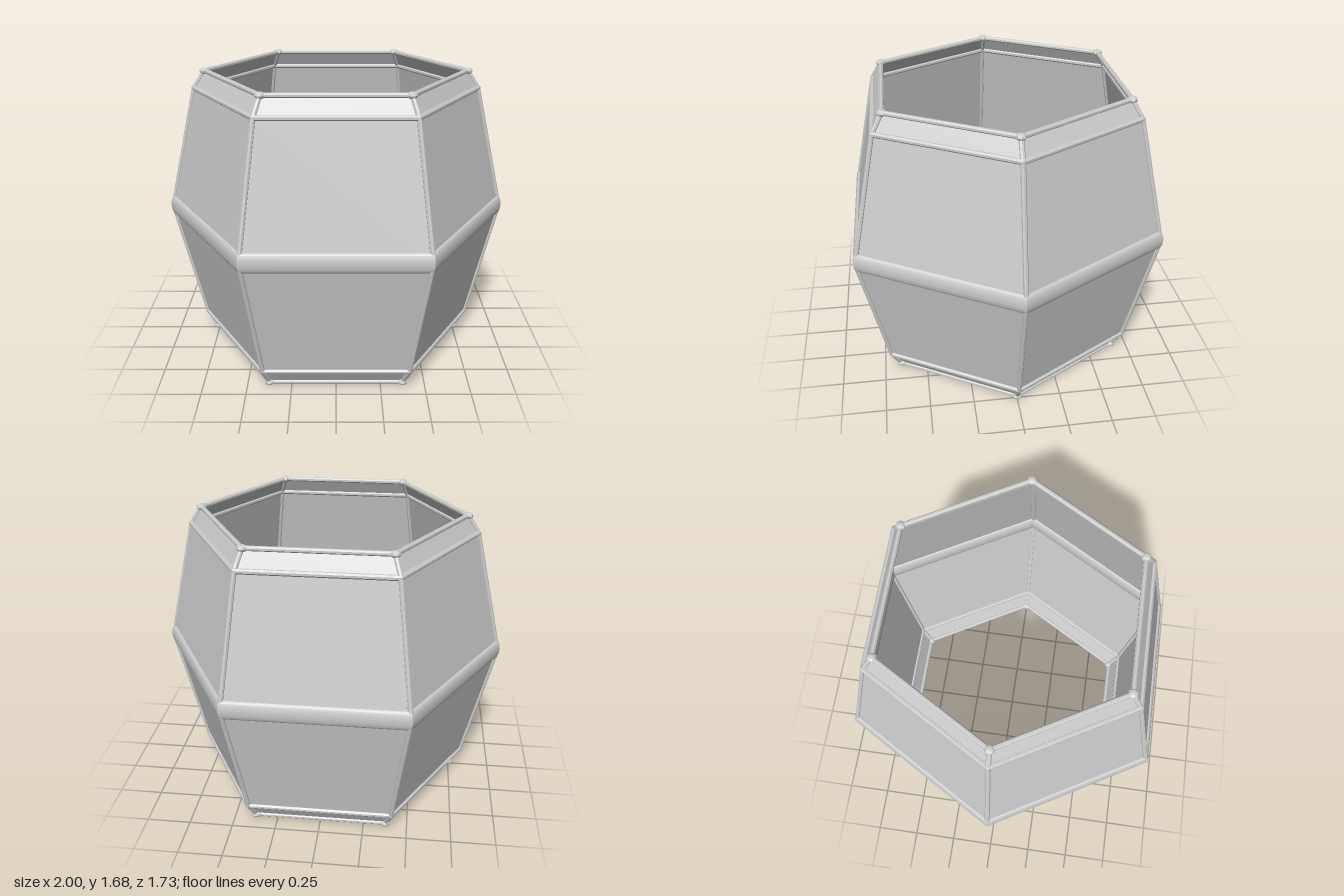
import * as THREE from 'three';

const SIDES = 6;
const MID = 0.84; // height of the widest ring
// half profile above the middle: [corner radius, height offset]
const HALF = [[0.985, 0], [0.815, 0.72], [0.75, 0.82]];

const material = new THREE.MeshStandardMaterial({ color: 0xcccccc, flatShading: true, side: THREE.DoubleSide });

function addMesh(parent, name, geometry) {
  const mesh = new THREE.Mesh(geometry, material);
  mesh.name = name;
  parent.add(mesh);
  return mesh;
}

// six-sided lathe with a corner on the x axis
function hexLathe(points) {
  return new THREE.LatheGeometry(points, SIDES, Math.PI / 2);
}

// closed hexagonal ring with an elliptical section
function hexRing(radius, y, halfDepth, halfHeight, steps) {
  const points = [];
  for (let i = 0; i <= steps; i++) {
    const a = (i / steps) * Math.PI * 2 + Math.PI / steps;
    points.push(new THREE.Vector2(radius + Math.cos(a) * halfDepth, y + Math.sin(a) * halfHeight));
  }
  return hexLathe(points);
}

// straight round bar between two points
function addBar(parent, name, from, to, radius) {
  const dir = to.clone().sub(from);
  const bar = addMesh(parent, name, new THREE.CylinderGeometry(radius, radius, dir.length(), 8));
  bar.position.copy(from).add(to).multiplyScalar(0.5);
  bar.quaternion.setFromUnitVectors(new THREE.Vector3(0, 1, 0), dir.normalize());
}

export function createModel() {
  const model = new THREE.Group();
  model.name = 'hexagonalBarrel';

  // thin wall panels, open at both ends
  const profile = [
    ...HALF.slice(1).reverse().map(([r, h]) => new THREE.Vector2(r, MID - h)),
    ...HALF.map(([r, h]) => new THREE.Vector2(r, MID + h)),
  ];
  addMesh(model, 'wallPanels', hexLathe(profile));

  // rounded belt around the middle
  addMesh(model, 'middleBand', hexRing(0.975, MID + 0.005, 0.025, 0.056, 24));

  // rails and rims, mirrored top and bottom
  for (const s of [1, -1]) {
    const end = s > 0 ? 'upper' : 'lower';
    addMesh(model, end + 'Rail', hexRing(HALF[1][0], MID + s * HALF[1][1], 0.017, 0.015, 8));
    addMesh(model, end + 'Rim', hexRing(HALF[2][0], MID + s * HALF[2][1], 0.016, 0.014, 8));
  }

  // corner ribs and the knobs at their ends
  for (let i = 0; i < SIDES; i++) {
    const corner = new THREE.Group();
    corner.name = 'corner' + (i + 1);
    corner.rotation.y = (i / SIDES) * Math.PI * 2;
    for (const s of [1, -1]) {
      const points = HALF.map(([r, h]) => new THREE.Vector3(r, MID + s * h, 0));
      addBar(corner, 'rib', points[0], points[1], 0.014);
      addBar(corner, 'endRib', points[1], points[2], 0.014);
      const knob = addMesh(corner, 'knob', new THREE.SphereGeometry(0.029, 8, 6));
      knob.position.copy(points[2]);
      knob.scale.y = 0.66;
    }
    model.add(corner);
  }

  return model;
}
